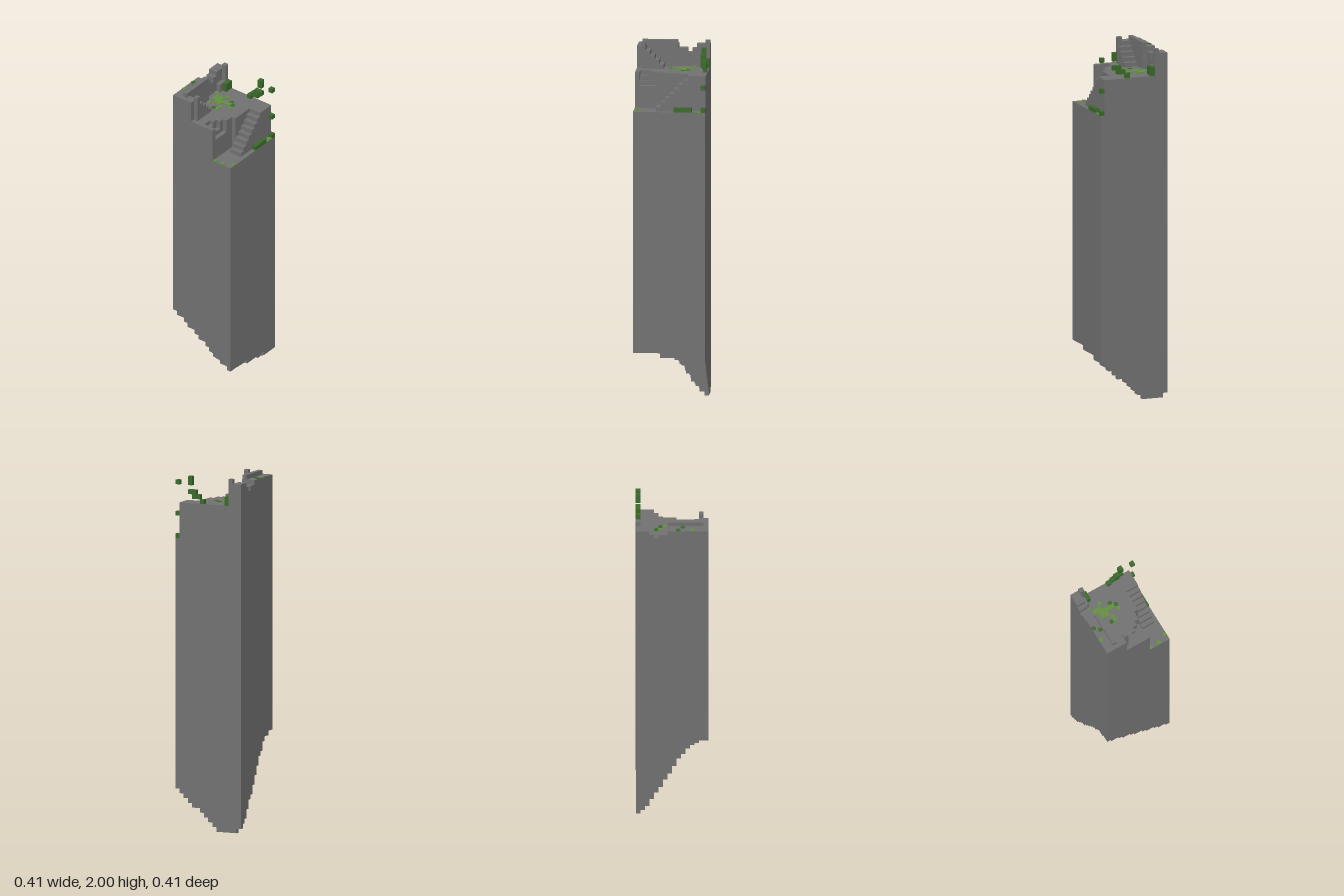
import * as THREE from 'three';
import { mergeGeometries } from 'three/addons/utils/BufferGeometryUtils.js';

const N = 16;           // cells per side
const U = 2 / 79;       // cell size
const HALF = (N * U) / 2;

const mat = (name, color) => {
  const m = new THREE.MeshStandardMaterial({ color });
  m.name = name;
  return m;
};

// Underside: rises from the back left foot in a smooth curve to the front
function bottom(i, k) {
  const back = i === 0 ? 1 : Math.max(0, (i - 5) * 0.9);
  const front = 21 - (i * 10) / 15;
  const t = Math.pow(k / 15, 0.8);
  return Math.round(back + (front - back) * t * t * (3 - 2 * t));
}

// Ruined top: raised wall, two stairways, a broken landing and a low ledge
function top(i, k) {
  if (i < 2) return [78, 78, 78, 77, 76, 77, 77][k] ?? 78;
  if (i === 2) {
    if (k === 0) return 79;
    if (k >= 7) return k < 15 ? 79 : 78;
    return k < 3 ? 75 : 73;
  }
  if (i <= 4 && k >= 10) return Math.min(78, 64 + k);
  if (i === 5 && k >= 10) return k === 14 ? 79 : k === 15 ? 73 : 64 + k;
  if (i === 15) return 65;
  if (i >= 12) return Math.max(65, Math.min(73, 76 - k));
  if (i === 11) return k < 9 ? 73 : 65;
  if (i >= 8 && k >= 21 - i && k < 15) return 80 - i;
  return 73;
}

// Outer skin of a field of columns, without hidden faces
function columnSkin() {
  const pos = [];
  const quad = (a, b, c, d) => pos.push(...a, ...b, ...c, ...a, ...c, ...d);
  const inside = (i, k) => i >= 0 && k >= 0 && i < N && k < N;
  for (let i = 0; i < N; i++) for (let k = 0; k < N; k++) {
    const x0 = i * U - HALF, x1 = x0 + U, z0 = k * U - HALF, z1 = z0 + U;
    const lo = bottom(i, k), hi = top(i, k);
    const yt = hi * U, yb = lo * U;
    quad([x0, yt, z1], [x1, yt, z1], [x1, yt, z0], [x0, yt, z0]);
    quad([x0, yb, z0], [x1, yb, z0], [x1, yb, z1], [x0, yb, z1]);
    const sides = [
      [1, 0, [x1, z1], [x1, z0]], [-1, 0, [x0, z0], [x0, z1]],
      [0, 1, [x0, z1], [x1, z1]], [0, -1, [x1, z0], [x0, z0]],
    ];
    for (const [di, dk, p, q] of sides) {
      const open = inside(i + di, k + dk);
      const nLo = open ? bottom(i + di, k + dk) : hi;
      const nHi = open ? top(i + di, k + dk) : hi;
      for (const [a, b] of [[lo, Math.min(hi, nLo)], [Math.max(lo, nHi), hi]]) {
        if (b <= a) continue;
        quad([p[0], a * U, p[1]], [q[0], a * U, q[1]], [q[0], b * U, q[1]], [p[0], b * U, p[1]]);
      }
    }
  }
  const g = new THREE.BufferGeometry();
  g.setAttribute('position', new THREE.Float32BufferAttribute(pos, 3));
  g.computeVertexNormals();
  return g;
}

// Block given by its first cell and its size in cells
function block([i, y, k, w = 1, h = 1, d = 1]) {
  return new THREE.BoxGeometry(w * U, h * U, d * U)
    .translate((i + w / 2) * U - HALF, (y + h / 2) * U, (k + d / 2) * U - HALF);
}

// Thin plate on a surface of the given level
function plate([x0, z0, x1, z1, level]) {
  return new THREE.BoxGeometry(x1 - x0, 0.003, z1 - z0)
    .translate((x0 + x1) / 2, level * U + 0.0015, (z0 + z1) / 2);
}

// Rounded moss spot made of two crossed plates
const spot = ([x, z, level, r = 0.012]) => [
  plate([Math.max(-HALF, x - r), z - r * 0.5, Math.min(HALF, x + r), z + r * 0.5, level]),
  plate([Math.max(-HALF, x - r * 0.6), z - r, Math.min(HALF, x + r * 0.6), Math.min(HALF, z + r), level]),
];

export function createModel() {
  const model = new THREE.Group();
  model.name = 'ruinedPillar';
  const stone = mat('stone grey', 0x717171);
  const light = mat('light moss', 0x628f3e);
  const dark = mat('dark moss', 0x3a692b);
  const add = (name, geometry, material) => {
    const m = new THREE.Mesh(geometry, material);
    m.name = name;
    model.add(m);
  };

  add('stonePillar', columnSkin(), stone);

  // Leaf blocks drifting along the back edge and growing on the ledge
  add('leafBlocks', mergeGeometries([
    [9, 73, 0], [10, 74, 0], [11, 74, 0], [11, 75, 0], [12, 75, 0], [12, 77, 0, 1, 2, 1],
    [15, 77, 0], [15, 70, 0], [15, 65, 0], [15, 65, 3, 1, 1, 4], [3, 73, 0, 1, 2, 2],
  ].map(block)), dark);

  // Moss carpet on the landing and ledge
  add('lightMoss', mergeGeometries([
    ...[
      [-0.125, -0.1, -0.07, -0.05, 73], [-0.1, -0.075, -0.05, -0.028, 73],
      [-0.07, -0.078, 0, -0.052, 73], [0.177, -0.178, HALF, -0.128, 65],
    ].map(plate),
    ...[
      [-0.14, -0.115, 73], [-0.065, -0.115, 73], [-0.115, -0.015, 73], [-0.04, -0.012, 73],
      [-0.04, 0.012, 73], [0.012, -0.04, 73], [-0.192, 0.115, 78],
      [0.088, 0.19, 65], [0.14, 0.19, 65], [0.192, 0.165, 65],
    ].flatMap(spot),
  ]), light);
  add('darkMoss', mergeGeometries([
    [-0.013, -0.088, 73], [0.012, -0.065, 73.06], [-0.062, 0.012, 73],
    [-0.192, 0.035, 78], [-0.165, 0.06, 78],
  ].flatMap(spot)), dark);

  return model;
}
